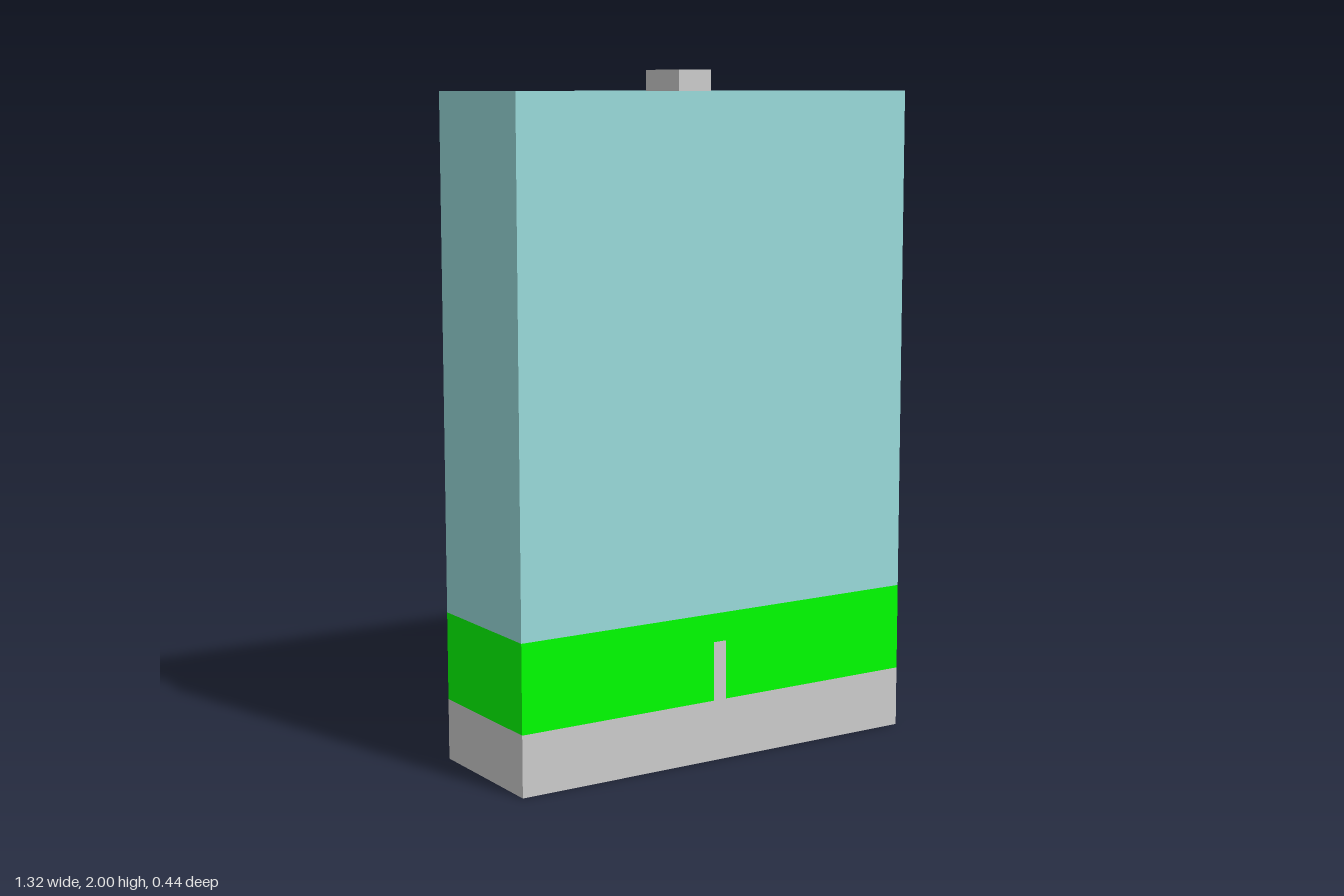
import * as THREE from 'three';

const WIDTH = 1.32, DEPTH = 0.44;

export function createModel() {
  const group = new THREE.Group();
  const grey = new THREE.MeshStandardMaterial({ color: 0xcccccc });
  const green = new THREE.MeshStandardMaterial({ color: 0x00ff00 });
  const teal = new THREE.MeshStandardMaterial({ color: 0x99dada });

  // Box spanning y0..y1, centred on x = 0 and on z
  function block(name, material, w, d, y0, y1, z = 0) {
    const mesh = new THREE.Mesh(new THREE.BoxGeometry(w, y1 - y0, d), material);
    mesh.name = name;
    mesh.position.set(0, (y0 + y1) / 2, z);
    group.add(mesh);
  }

  // Stacked body: base, coloured band and tall upper case
  block('base', grey, WIDTH, DEPTH, 0, 0.18);
  block('band', green, WIDTH, DEPTH, 0.18, 0.44);
  block('upperCase', teal, WIDTH, DEPTH, 0.44, 1.94);

  // Button on the top
  block('topButton', grey, 0.11, 0.174, 1.94, 2);

  // Slim strip let into the front of the band, practically flush
  block('frontStrip', grey, 0.042, 0.02, 0.18, 0.355, DEPTH / 2 - 0.009);

  return group;
}
